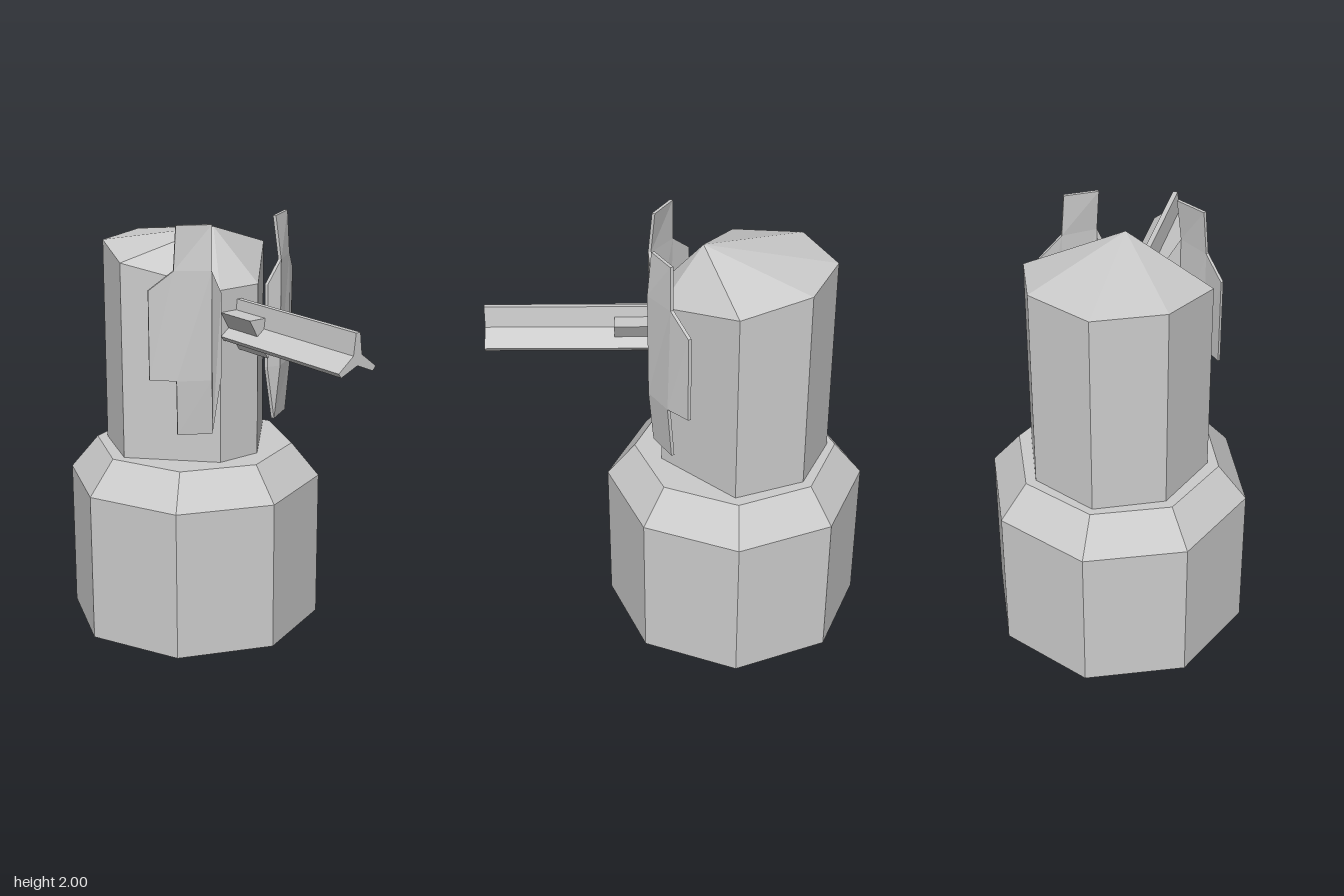
import * as THREE from 'three';

const material = new THREE.MeshStandardMaterial({ color: 0xcccccc, flatShading: true });

function addMesh(parent, geometry, name) {
  const mesh = new THREE.Mesh(geometry, material);
  mesh.name = name;
  parent.add(mesh);
  return mesh;
}

// Flat-faced geometry from convex faces, each a list of [x, y, z] corners
function fromFaces(faces) {
  const positions = [];
  for (const face of faces) {
    for (let i = 1; i < face.length - 1; i++) {
      positions.push(...face[0], ...face[i], ...face[i + 1]);
    }
  }
  const geometry = new THREE.BufferGeometry();
  geometry.setAttribute('position', new THREE.Float32BufferAttribute(positions, 3));
  geometry.computeVertexNormals();
  return geometry;
}

// Thin plate: the outer face plus a copy pushed back, closed around the rim
function plateFaces(front, push) {
  const back = front.map((p) => p.map((v, i) => v + push[i]));
  const faces = [front, [...back].reverse()];
  front.forEach((p, i) => {
    const j = (i + 1) % front.length;
    faces.push([p, back[i], back[j], front[j]]);
  });
  return faces;
}

function extrudeOutline(points, zStart, zEnd) {
  const shape = new THREE.Shape(points.map(([x, y]) => new THREE.Vector2(x, y)));
  const geometry = new THREE.ExtrudeGeometry(shape, { depth: zEnd - zStart, bevelEnabled: false });
  return geometry.translate(0, 0, zStart);
}

function createTower() {
  // Plan corners on the left side from front to back, with roof heights
  const half = [[0.11, 1.69, 0.085], [0.42, 1.8, -0.25], [0.3, 1.845, -0.565]];
  const mirrored = half.map(([x, y, z]) => [-x, y, z]).reverse();
  const rim = [...half, [0, 1.845, -0.7], ...mirrored];
  const apex = [0, 1.94, -0.105];
  const faces = [];
  rim.forEach((a, i) => {
    const b = rim[(i + 1) % rim.length];
    faces.push([[a[0], 0.87, a[2]], [b[0], 0.87, b[2]], b, a]);
    faces.push([a, b, apex]);
  });
  return fromFaces(faces);
}

function createShield(side) {
  // Inner and outer edges of the central strip, bottom to top
  const inner = [[0.183, 1.04, 0.12], [0.2, 1.3, 0.14], [0.2, 1.8, 0.14], [0.183, 2, 0.12]];
  const outer = [[0.32, 1.04, 0.038], [0.335, 1.3, 0.055], [0.335, 1.8, 0.04], [0.32, 2, 0.04]];
  const panels = [];
  for (let i = 0; i < 3; i++) panels.push([inner[i], outer[i], outer[i + 1], inner[i + 1]]);
  // Folded outer and inner wings
  panels.push([outer[1], [0.42, 1.3, -0.035], [0.42, 1.71, -0.035], outer[2]]);
  panels.push([inner[1], inner[2], [0.135, 1.69, 0.125], [0.135, 1.3, 0.125], inner[0]]);
  const push = [-0.007, 0, -0.013];
  const faces = panels.flatMap((panel) => plateFaces(panel, push));
  if (side > 0) return fromFaces(faces);
  return fromFaces(faces.map((face) => face.map(([x, y, z]) => [-x, y, z]).reverse()));
}

export function createModel() {
  const group = new THREE.Group();
  group.name = 'turret';

  // Octagonal base with a tapered shoulder
  const base = addMesh(group, new THREE.CylinderGeometry(0.607, 0.607, 0.715, 8), 'base');
  base.position.set(0, 0.3575, -0.263);
  const shoulder = addMesh(group, new THREE.CylinderGeometry(0.475, 0.607, 0.16, 8), 'shoulder');
  shoulder.position.set(0, 0.795, -0.263);

  // Seven-sided tower with a peaked roof
  addMesh(group, createTower(), 'tower');

  // Triangular collar and three-finned barrel
  addMesh(group, extrudeOutline([[0, 1.4], [0.105, 1.588], [-0.105, 1.588]], 0.07, 0.29), 'barrelCollar');
  const fins = [[0, 1.495], [0.09, 1.457], [0.105, 1.477], [0.024, 1.54], [0.012, 1.637]];
  const outline = [...fins, ...fins.slice(1).reverse().map(([x, y]) => [-x, y])];
  addMesh(group, extrudeOutline(outline, 0.07, 0.87), 'barrel');

  // Folded shields either side of the barrel
  addMesh(group, createShield(1), 'leftShield');
  addMesh(group, createShield(-1), 'rightShield');

  return group;
}
